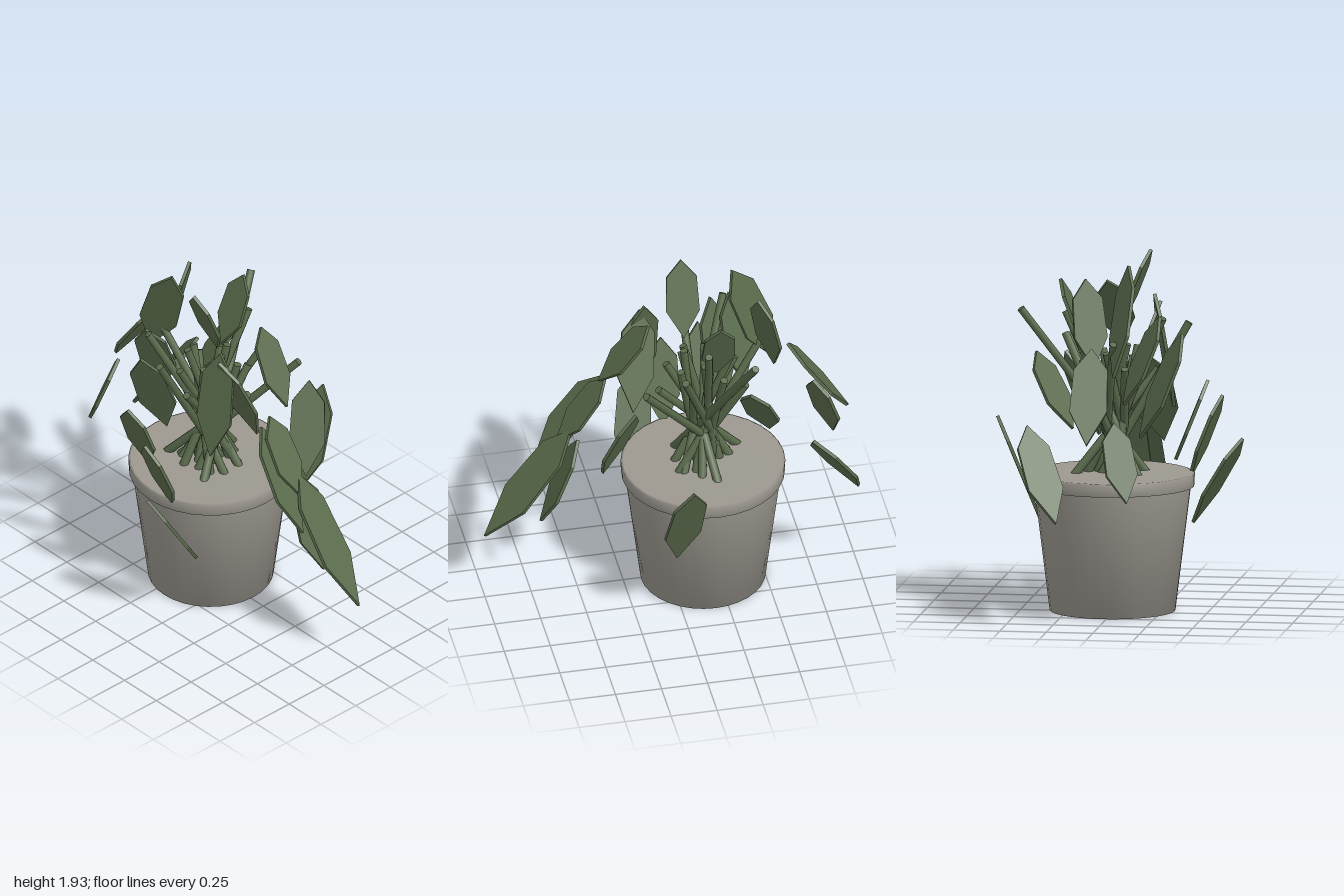
import * as THREE from 'three';

const POT_X = -0.18;
const V = (x, y, z) => new THREE.Vector3(x, y, z);

// Leaves tucked in towards the plant: x, y, z of the base, the drop to the tip, optional twist
const TUCKED = [
  [-0.38, 1.61, 0.27, 0.47, -0.3], [-0.3, 1.51, 0.38, 0.56, -0.4], [-0.26, 1.26, 0.51, 0.43],
  [-0.07, 1.15, 0.56, 0.45], [-0.1, 1.93, 0.18, 0.4], [-0.22, 1.78, -0.29, 0.38],
  [0.12, 1.62, 0.2, 0.52, -0.4], [0, 1, -0.66, 0.57],
];

// Leaves spreading to the sides: base x, y, z, tip x, y, z, optional twist
const SPREAD = [
  [-0.7, 1.06, -0.4, -0.99, 0.58, -0.2],
  [-0.63, 1.47, -0.06, -0.96, 1, -0.04],
  [-0.8, 1.1, 0.08, -0.93, 0.69, 0.17],
  [-0.36, 1.41, -0.4, -0.51, 1.02, -0.18],
  [-0.36, 1.88, 0.1, -0.58, 1.31, 0.05, 0.75],
  [-0.46, 1.82, -0.12, -0.56, 1.35, -0.06],
  [0.05, 0.9, 0.65, 0.13, 0.43, 0.37],
  [0.1, 1.66, 0.17, 0.13, 1.05, 0.27],
  [0.13, 1.72, -0.09, 0.39, 1.36, -0.04, -0.3],
  [0.25, 1.32, -0.33, 0.4, 0.85, -0.17],
  [0.34, 1.31, 0.04, 0.6, 0.93, 0.05, -0.2],
  [0.35, 1.28, 0.11, 0.7, 0.78, 0.13, -0.35],
  [0.5, 0.98, -0.03, 0.7, 0.47, -0.02],
  [0.53, 1.02, 0.01, 1, 0.4, 0, -0.25],
];

// Ends of the long stalks
const LONG_STALKS = [
  [-0.37, 1.64, -0.48], [0.19, 1.42, -0.31], [-0.03, 1.46, -0.29],
  [-0.16, 1.6, -0.27], [-0.14, 1.55, 0.39], [-0.35, 1.6, 0.28], [-0.52, 1.48, 0.04],
];

// Thick hexagonal leaf hanging from base to tip, level across unless twisted
function leafGeometry(base, tip, twist = 0) {
  const axis = tip.clone().sub(base);
  const length = axis.length(), h = 0.06 + 0.07 * length, t = 0.018;
  axis.normalize();
  const half = [[0.9, 0.22], [1, 0.65]];
  const outline = [[0, 0], ...half, [0, 1], ...half.map(([x, y]) => [-x, y]).reverse()];
  const shape = new THREE.Shape(outline.map(([x, y]) => new THREE.Vector2(x * h, y * length)));
  const geo = new THREE.ExtrudeGeometry(shape, { depth: t, bevelEnabled: false });
  geo.translate(0, 0, -t / 2).rotateY(twist);
  const side = V(axis.z, 0, -axis.x).normalize();
  const normal = side.clone().cross(axis);
  return geo.applyMatrix4(new THREE.Matrix4().makeBasis(side, axis, normal).setPosition(base));
}

export function createModel() {
  const model = new THREE.Group();
  const leafGreen = new THREE.MeshStandardMaterial({ color: 0x5a6b4c, flatShading: true });
  const stalkGreen = new THREE.MeshStandardMaterial({ color: 0x5a6b4c });
  const clay = new THREE.MeshStandardMaterial({ color: 0x9c9890 });

  // Tapered pot with a raised rim and a level top of soil, smooth all over
  const profile = [[0, 0], [0.335, 0], [0.418, 0.67], [0.436, 0.67], [0.438, 0.735], [0.425, 0.74], [0, 0.735]];
  const potGeo = new THREE.LatheGeometry(profile.map(([x, y]) => new THREE.Vector2(x, y)), 32);
  const pot = new THREE.Mesh(potGeo, clay);
  pot.name = 'pot';
  pot.position.set(POT_X, 0, -0.015);
  model.add(pot);

  // Straight stalks running from the soil, crossing in a loose bundle
  const stalks = new THREE.Group();
  stalks.name = 'stalks';
  const addStalk = (end, i) => {
    const cross = V(POT_X + 0.05 * Math.cos(i * 5), 0.94, 0.05 * Math.sin(i * 5));
    const dir = end.clone().sub(cross);
    const foot = cross.clone().addScaledVector(dir, (0.7 - cross.y) / dir.y);
    const stalk = new THREE.Mesh(new THREE.CylinderGeometry(0.021, 0.024, foot.distanceTo(end), 8), stalkGreen);
    stalk.name = 'stalk';
    stalk.position.copy(foot).add(end).multiplyScalar(0.5);
    stalk.quaternion.setFromUnitVectors(V(0, 1, 0), dir.normalize());
    stalks.add(stalk);
  };
  LONG_STALKS.forEach((p, i) => addStalk(V(...p), i));

  // Shorter stalks fanned out evenly between the long ones
  for (let i = 0; i < 14; i++) {
    const a = i * 2.4, r = 0.1 + 0.012 * i;
    addStalk(V(POT_X + r * Math.cos(a), 1.46 - 0.015 * i, r * Math.sin(a)), i);
  }
  model.add(stalks);

  // Leaves
  const leaves = new THREE.Group();
  leaves.name = 'leaves';
  const addLeaf = (base, tip, twist) => {
    const leaf = new THREE.Mesh(leafGeometry(base, tip, twist), leafGreen);
    leaf.name = 'leaf';
    leaves.add(leaf);
  };
  for (const [x, y, z, drop, twist] of TUCKED) {
    const drift = 0.5 * drop * (x - POT_X);
    addLeaf(V(x, y, z), V(x + drift, y - drop, z - Math.sign(z) * 0.4 * drop), twist);
  }
  for (const [bx, by, bz, tx, ty, tz, twist] of SPREAD) addLeaf(V(bx, by, bz), V(tx, ty, tz), twist);
  model.add(leaves);
  return model;
}
